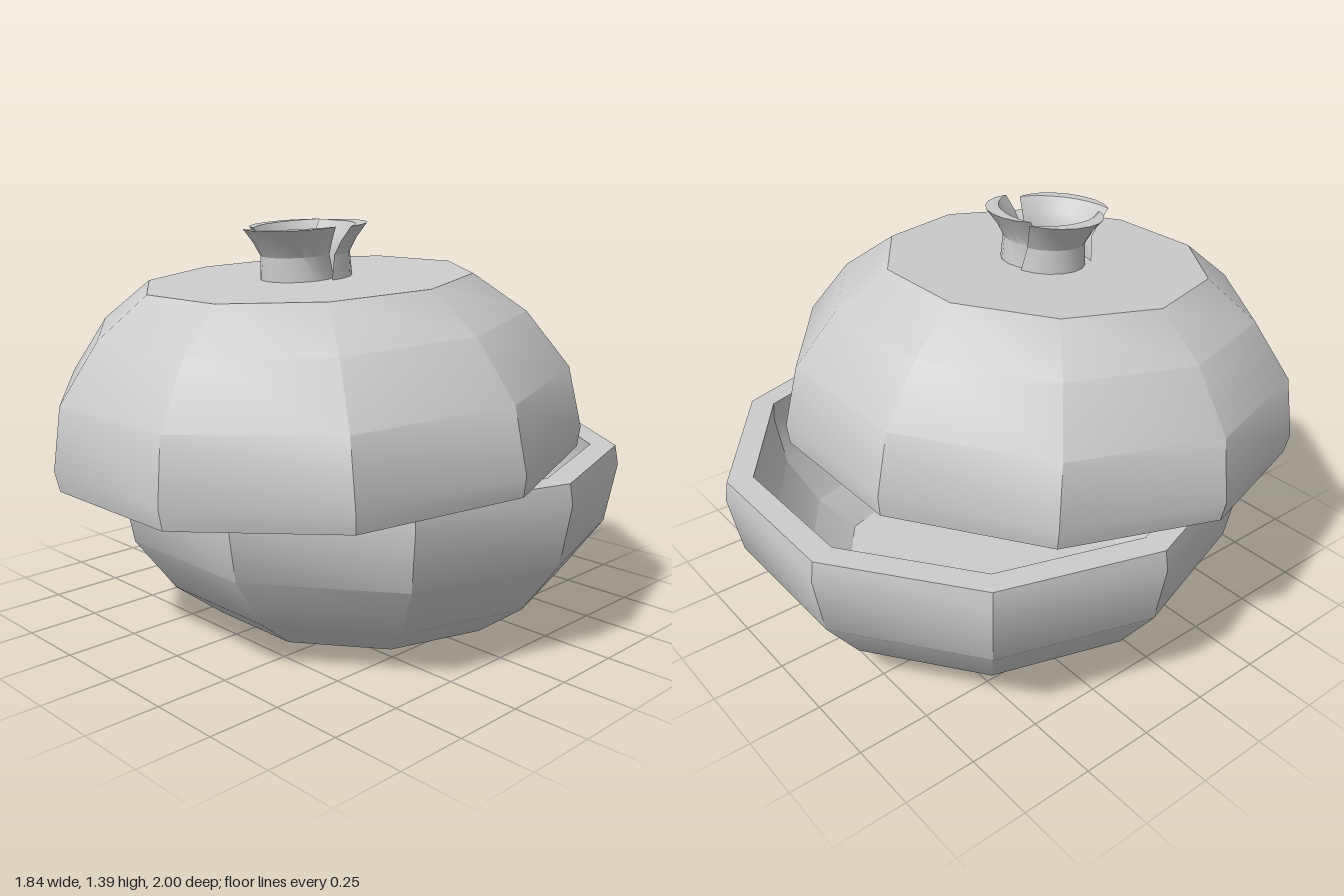
import * as THREE from 'three';
import { toCreasedNormals } from 'three/addons/utils/BufferGeometryUtils.js';

const material = new THREE.MeshStandardMaterial({ color: 0xcccccc, side: THREE.DoubleSide });
const CREASE = Math.PI / 6;
const HEIGHT = 0.6;
const points = (list) => list.map(([r, y]) => new THREE.Vector2(r, y));

function mesh(geometry, name) {
  const m = new THREE.Mesh(toCreasedNormals(geometry, CREASE), material);
  m.name = name;
  return m;
}

// Ten-sided hollow half shell: outer wall, flat rim, inner wall, floor
function shellGeometry() {
  const profile = points([
    [0, 0], [0.565, 0], [0.74, 0.13], [0.88, 0.32], [0.92, 0.53], [0.908, HEIGHT],
    [0.82, HEIGHT], [0.825, 0.53], [0.79, 0.35], [0.67, 0.19], [0.53, 0.09], [0, 0.09],
  ]);
  return new THREE.LatheGeometry(profile, 10, Math.PI / 2);
}

// Flared crescent petal, pinched to an edge at both ends
function petalGeometry() {
  const outer = [[0.155, -0.01], [0.15, 0.08], [0.175, 0.125], [0.215, 0.175]];
  const inner = [[0.165, 0.175], [0.135, 0.125], [0.115, 0.08], [0.12, -0.01]];
  const profile = [...outer, ...inner, outer[0]];
  const middle = outer.map(([r], i) => (r + inner[3 - i][0]) / 2);
  const half = 1.25;
  const geometry = new THREE.LatheGeometry(points(profile), 8, -half, half * 2);
  const pos = geometry.attributes.position;
  for (let i = 0; i < pos.count; i++) {
    const j = i % profile.length;
    const mid = middle[j < 4 ? j : j < 8 ? 7 - j : 0];
    const t = Math.floor(i / profile.length) / 4 - 1;
    const y = pos.getY(i);
    const r = mid + (profile[j][0] - mid) * (1 - t * t) - 0.02 * t;
    const angle = t * half * (1 - 1.2 * Math.max(y, 0));
    pos.setXYZ(i, r * Math.sin(angle), y, r * Math.cos(angle));
  }
  return geometry;
}

export function createModel() {
  const model = new THREE.Group();
  model.name = 'lidded pot';

  // Lower bowl, set back
  const bowl = mesh(shellGeometry(), 'bowl');
  bowl.position.z = -0.122;
  model.add(bowl);

  // Lid: the same shell upside down, slid forward and tilted
  const lid = new THREE.Group();
  lid.name = 'lid';
  lid.position.set(0, 0.605, 0.122);
  lid.rotation.x = 0.064;
  const lidShell = mesh(shellGeometry().translate(0, -HEIGHT, 0).rotateX(Math.PI), 'lidShell');
  lid.add(lidShell);

  // Crown knob of three overlapping petals
  const knob = new THREE.Group();
  knob.name = 'crownKnob';
  knob.position.set(-0.015, HEIGHT, -0.01);
  [30, 152, 268].forEach((degrees) => {
    const petal = mesh(petalGeometry(), 'petal');
    petal.rotation.y = THREE.MathUtils.degToRad(degrees);
    knob.add(petal);
  });
  lid.add(knob);
  model.add(lid);
  return model;
}
